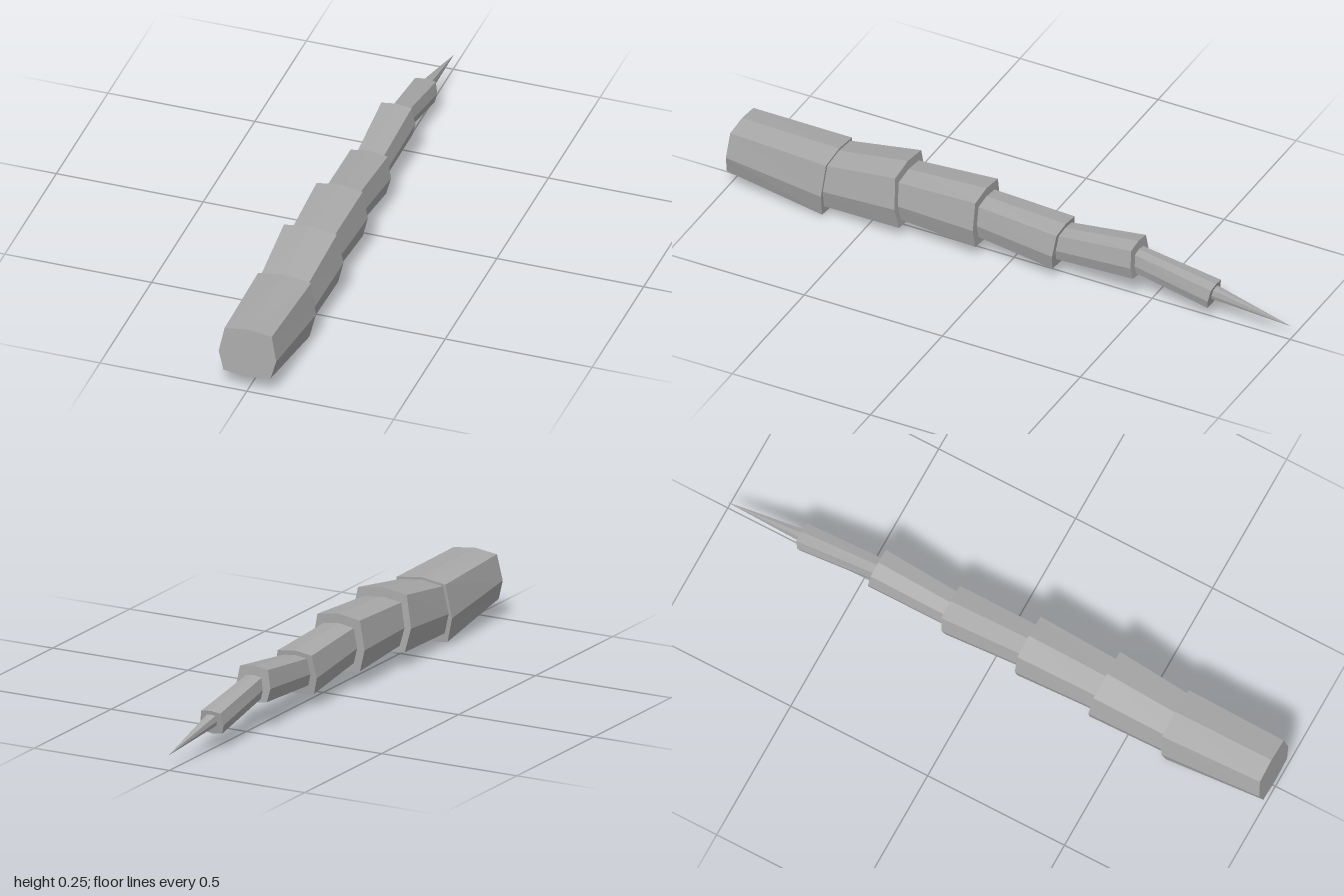
import * as THREE from 'three';

// Eight-sided cross-section, in units of half width and half height
const SECTION = [[0, 1], [-0.82, 0.88], [-1, -0.13], [-0.82, -0.88], [0, -1], [0.82, -0.88], [1, -0.13], [0.82, 0.88]];

// A ring is [half width, top z, top y, bottom z, bottom y]; its plane may tilt
function ringPoints([w, zTop, yTop, zBot, yBot]) {
  return SECTION.map(([sx, sy]) => {
    const t = (sy + 1) / 2;
    return [sx * w, yBot + (yTop - yBot) * t, zBot + (zTop - zBot) * t];
  });
}

// Closed, faceted segment between a front and a back ring
function segmentGeometry(front, back) {
  const a = ringPoints(front), b = ringPoints(back), n = SECTION.length, index = [];
  for (let i = 0; i < n; i++) {
    const j = (i + 1) % n;
    index.push(i, n + i, j, j, n + i, n + j);
    if (i > 0 && i < n - 1) index.push(0, i, i + 1, n, n + i + 1, n + i);
  }
  const geometry = new THREE.BufferGeometry();
  geometry.setAttribute('position', new THREE.Float32BufferAttribute([...a, ...b].flat(), 3));
  geometry.setIndex(index);
  const faceted = geometry.toNonIndexed();
  faceted.computeVertexNormals();
  return faceted;
}

export function createModel() {
  const group = new THREE.Group();
  group.name = 'segmentedTail';
  const grey = new THREE.MeshStandardMaterial({ color: 0xa8a8a8, flatShading: true });
  grey.name = 'grey';

  // Flared segments from the thick front end to the pointed tip
  const segments = [
    [[0.098, 0.986, 0.228, 1.0, 0.055], [0.11, 0.634, 0.222, 0.65, 0.0]],
    [[0.098, 0.636, 0.213, 0.648, 0.03], [0.11, 0.385, 0.253, 0.37, 0.038]],
    [[0.086, 0.386, 0.222, 0.372, 0.06], [0.096, 0.10, 0.238, 0.10, 0.045]],
    [[0.068, 0.105, 0.207, 0.10, 0.073], [0.077, -0.187, 0.19, -0.17, 0.04]],
    [[0.054, -0.18, 0.174, -0.172, 0.07], [0.063, -0.45, 0.208, -0.458, 0.087]],
    [[0.035, -0.45, 0.177, -0.452, 0.098], [0.043, -0.732, 0.13, -0.717, 0.05]],
  ];
  segments.forEach(([front, back], i) => {
    const mesh = new THREE.Mesh(segmentGeometry(front, back), grey);
    mesh.name = `tailSegment${i + 1}`;
    group.add(mesh);
  });

  // Tip spike
  const spike = new THREE.Mesh(segmentGeometry([0.02, -0.72, 0.119, -0.72, 0.078], [0.0005, -1.0, 0.053, -1.0, 0.052]), grey);
  spike.name = 'tipSpike';
  group.add(spike);
  return group;
}
